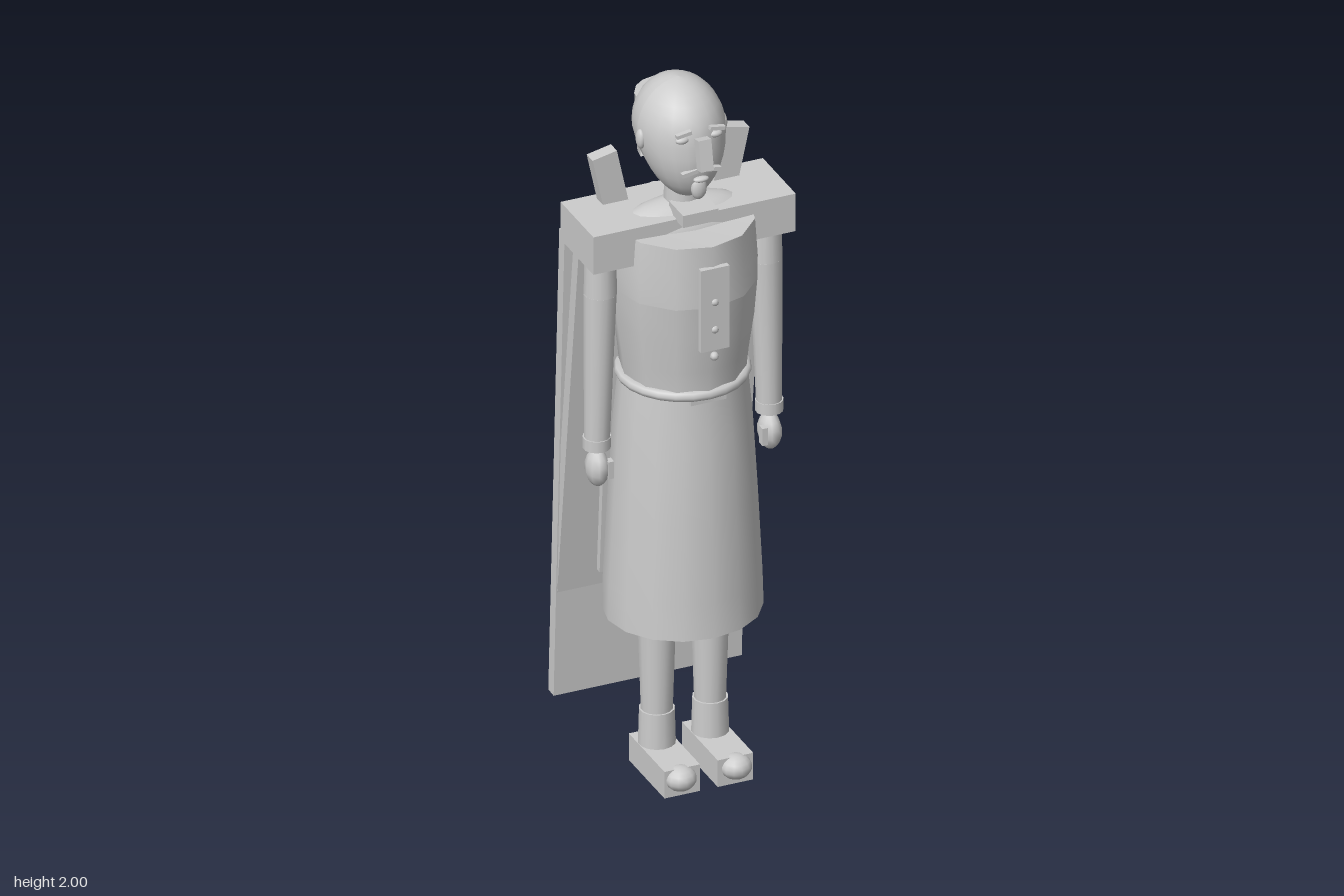
import * as THREE from 'three';
import { toCreasedNormals } from 'three/addons/utils/BufferGeometryUtils.js';

const V2 = (p) => new THREE.Vector2(p[0], p[1]);

export function createModel() {
  const model = new THREE.Group();
  const grey = new THREE.MeshStandardMaterial({ color: 0xcccccc, side: THREE.DoubleSide });
  grey.name = 'plainGrey';

  const add = (name, geometry, x = 0, y = 0, z = 0) => {
    const mesh = new THREE.Mesh(geometry, grey);
    mesh.name = name;
    mesh.position.set(x, y, z);
    model.add(mesh);
    return mesh;
  };
  const box = (name, w, h, d, x, y, z) => add(name, new THREE.BoxGeometry(w, h, d), x, y, z);
  const ball = (name, rx, ry, rz, x, y, z, seg = 12) =>
    add(name, new THREE.SphereGeometry(1, seg, Math.ceil(seg * 0.7)).scale(rx, ry, rz), x, y, z);
  const tube = (name, top, bottom, h, x, y, z, seg = 14) =>
    add(name, new THREE.CylinderGeometry(top, bottom, h, seg), x, y, z);
  // Round body section: points are [radius in x, y], depth scales z
  const lathe = (name, points, depth, seg = 12) =>
    add(name, toCreasedNormals(new THREE.LatheGeometry(points.map(V2), seg).scale(1, 1, depth), 0.7), 0, 0, 0.02);
  // Tilted board whose centre line runs from top [y, z] to bottom [y, z]
  const board = (name, width, thick, top, bottom) => {
    const dy = top[0] - bottom[0], dz = top[1] - bottom[1];
    const mesh = box(name, width, Math.hypot(dy, dz), thick, 0, (top[0] + bottom[0]) / 2, (top[1] + bottom[1]) / 2);
    mesh.rotation.x = Math.atan2(dz, dy);
  };

  // Head: egg with a narrower jaw pushed forward
  const head = new THREE.SphereGeometry(1, 20, 16);
  const p = head.attributes.position;
  for (let i = 0; i < p.count; i++) {
    const y = p.getY(i), low = Math.max(0, -y);
    p.setXYZ(i,
      p.getX(i) * 0.118 * (1 - 0.12 * low),
      y * (y > 0 ? 0.14 : 0.175),
      p.getZ(i) * 0.142 * (1 - 0.2 * low) + 0.055 * low);
  }
  head.computeVertexNormals();
  add('head', head, 0, 1.86, -0.005);
  tube('neck', 0.048, 0.052, 0.14, 0, 1.67, 0.02);

  // Hair at the back of the head
  const hair = new THREE.CylinderGeometry(0.088, 0.08, 0.17, 8, 1, false, Math.PI / 2, Math.PI);
  hair.scale(1, 1, 1.12);
  add('backHair', toCreasedNormals(hair, 0.7), 0, 1.835, -0.066);

  // Face
  const nose = box('nose', 0.036, 0.085, 0.028, 0, 1.85, 0.155);
  nose.rotation.x = -0.2;
  ball('mouth', 0.022, 0.008, 0.012, 0, 1.768, 0.136);
  ball('chinBeard', 0.022, 0.032, 0.014, 0, 1.735, 0.122);
  for (const s of [1, -1]) {
    const brow = box('eyebrow', 0.042, 0.01, 0.014, s * 0.047, 1.907, 0.131);
    brow.rotation.z = -s * 0.15;
    ball('eye', 0.019, 0.01, 0.012, s * 0.047, 1.885, 0.122);
    const moustache = box('moustache', 0.045, 0.011, 0.014, s * 0.032, 1.792, 0.134);
    moustache.rotation.z = -s * 0.15;
    ball('ear', 0.012, 0.028, 0.018, s * 0.115, 1.85, 0.012);
  }

  // Upper body
  ball('shoulders', 0.22, 0.105, 0.09, 0, 1.56, 0.02, 16);
  lathe('upperTorso', [[0.192, 1.43], [0.193, 1.5], [0.186, 1.606], [0, 1.596]], 1.03);
  lathe('lowerTorso', [[0.163, 1.16], [0.17, 1.23], [0.184, 1.33], [0.192, 1.43]], 1.03);
  box('collar', 0.1, 0.035, 0.09, 0, 1.652, 0.09);
  box('frontPlacket', 0.08, 0.24, 0.016, 0, 1.43, 0.217);
  for (const y of [1.45, 1.37, 1.29]) ball('button', 0.012, 0.012, 0.012, 0, y, 0.22, 8);

  // Belt and skirt
  const belt = new THREE.TorusGeometry(0.163, 0.015, 8, 24).rotateX(Math.PI / 2);
  add('belt', belt, 0, 1.16, 0.02);
  box('beltTab', 0.1, 0.018, 0.014, 0, 1.145, 0.178);
  lathe('skirt', [[0.21, 0.46], [0.207, 0.56], [0.195, 0.8], [0.182, 1.02], [0.168, 1.165]], 0.95, 16);

  // Yoke over the shoulders with two slanted posts
  box('shoulderYoke', 0.57, 0.11, 0.207, 0, 1.585, -0.0085);
  for (const s of [1, -1]) {
    const post = box('yokePost', 0.07, 0.18, 0.038, s * 0.168, 1.695, -0.072);
    post.rotation.z = -s * 0.21;
  }

  // Back boards
  board('backBoard', 0.53, 0.034, [1.53, -0.148], [0.14, -0.217]);
  board('middleBoard', 0.524, 0.034, [1.55, -0.062], [0.44, -0.203]);
  board('innerBoard', 0.34, 0.018, [1.5, -0.062], [0.52, -0.132]);

  // Arms and legs, mirrored
  for (const s of [1, -1]) {
    tube('upperArm', 0.04, 0.044, 0.18, s * 0.233, 1.52, 0.022);
    const forearm = tube('lowerArm', 0.044, 0.034, 0.43, s * 0.238, 1.215, 0.022);
    forearm.rotation.z = s * 0.02;
    tube('cuff', 0.037, 0.037, 0.032, s * 0.243, 0.995, 0.022);
    ball('hand', 0.031, 0.052, 0.041, s * 0.243, 0.92, 0.024, 10);
    box('thumb', 0.016, 0.05, 0.022, s * 0.217, 0.92, 0.045);

    tube('leg', 0.056, 0.042, 0.44, s * 0.075, 0.39, 0.025);
    tube('bootShaft', 0.047, 0.05, 0.105, s * 0.075, 0.125, 0.025);
    box('shoe', 0.1, 0.078, 0.225, s * 0.075, 0.039, 0.0725);
    ball('shoeToe', 0.043, 0.034, 0.042, s * 0.078, 0.048, 0.18);
  }
  return model;
}
